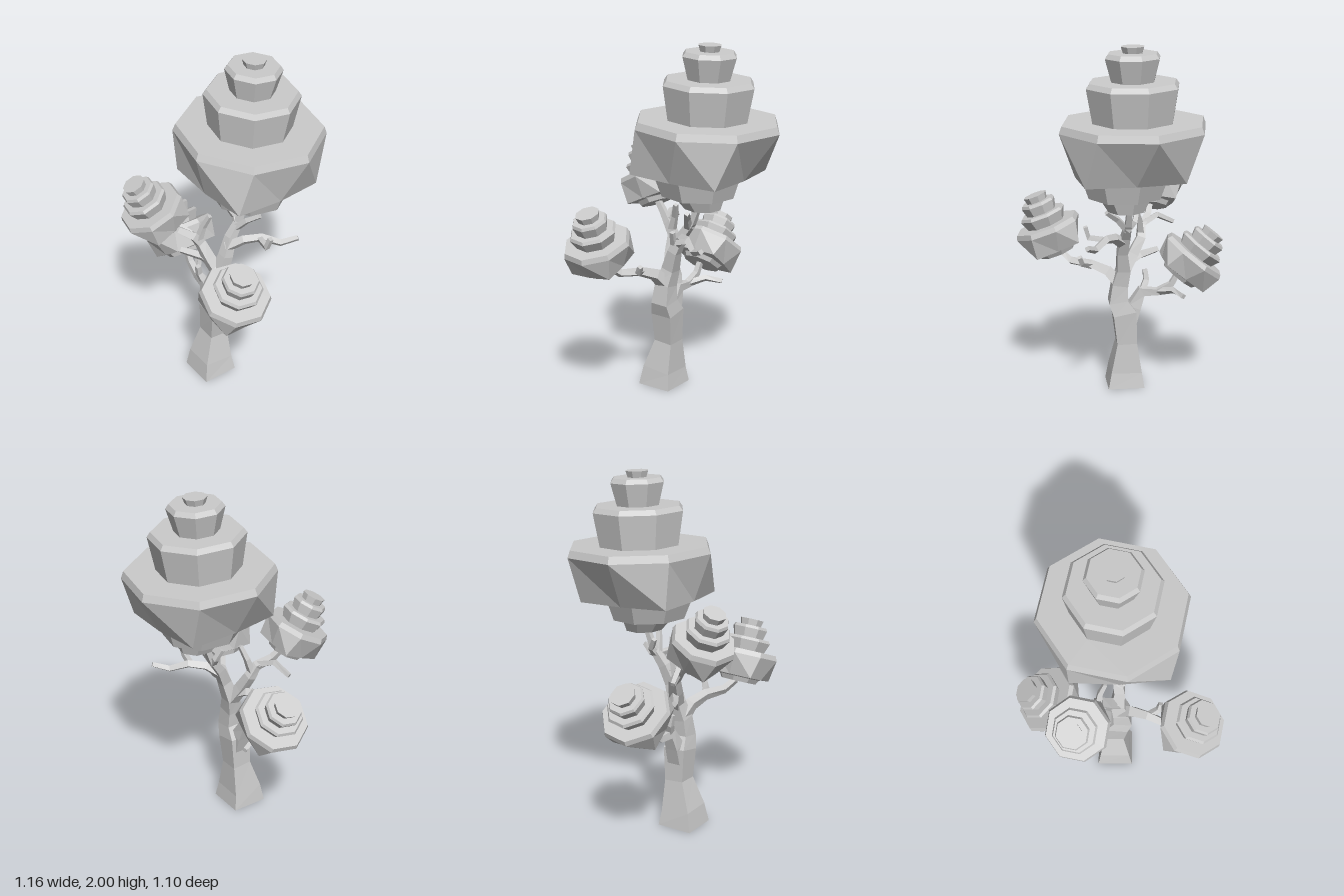
import * as THREE from 'three';

const material = new THREE.MeshStandardMaterial({ color: 0xcccccc, flatShading: true });
const UP = new THREE.Vector3(0, 1, 0);
const PHASE = THREE.MathUtils.degToRad(8.5);

function addMesh(parent, geometry, name) {
  const mesh = new THREE.Mesh(geometry, material);
  mesh.name = name;
  parent.add(mesh);
  return mesh;
}

// Square, tapering limb through stations [x, y, z, half width]
function limbGeometry(stations) {
  const points = stations.map(([x, y, z]) => new THREE.Vector3(x, y, z));
  const position = [], index = [], last = points.length - 1;
  points.forEach((p, i) => {
    const tangent = points[Math.min(i + 1, last)].clone().sub(points[Math.max(i - 1, 0)]).normalize();
    if (i === 0 && p.y === 0) tangent.copy(UP); // keep the foot flat on the ground
    const turn = new THREE.Quaternion().setFromUnitVectors(UP, tangent);
    for (let k = 0; k < 4; k++) {
      const a = THREE.MathUtils.degToRad(-42 + 90 * k), r = stations[i][3] * Math.SQRT2;
      const corner = new THREE.Vector3(Math.cos(a) * r, 0, Math.sin(a) * r).applyQuaternion(turn).add(p);
      position.push(corner.x, corner.y, corner.z);
      if (i < last) {
        const q = i * 4 + k, s = i * 4 + (k + 1) % 4;
        index.push(q, q + 4, s, s, q + 4, s + 4);
      }
    }
  });
  const e = last * 4;
  index.push(0, 1, 2, 0, 2, 3, e, e + 2, e + 1, e, e + 3, e + 2); // end caps
  const geometry = new THREE.BufferGeometry();
  geometry.setAttribute('position', new THREE.Float32BufferAttribute(position, 3));
  geometry.setIndex(index);
  geometry.computeVertexNormals();
  return geometry;
}

// Eight-sided stepped foliage from rings [radius, height, shift x, shift z, squarish]
function foliageGeometry(rings) {
  const profile = rings.map(([r, y]) => new THREE.Vector2(r, y));
  const geometry = new THREE.LatheGeometry(profile, 8, PHASE);
  const position = geometry.attributes.position;
  for (let i = 0; i < position.count; i++) {
    const [r, , dx = 0, dz = 0, squarish] = rings[i % rings.length];
    let x = position.getX(i), z = position.getZ(i);
    if (squarish) { // untwist the ring and push its corners outwards
      const a = Math.floor(i / rings.length) * Math.PI / 4;
      const reach = r / Math.max(Math.abs(Math.sin(a)), Math.abs(Math.cos(a))) ** 0.8;
      x = Math.sin(a) * reach;
      z = Math.cos(a) * reach;
    }
    position.setX(i, x + dx);
    position.setZ(i, z + dz);
  }
  return geometry;
}

// Heights are measured from the rim of the widest tier
const crownRings = [
  [0, -0.49, 0.045, -0.015], [0.105, -0.49, 0.045, -0.015],
  [0.15, -0.415, 0.045, 0.01], [0.21, -0.415, 0.045, 0.02],
  [0.25, -0.305, 0.04, 0.03], [0.289, -0.3, 0.03, 0.03, true],
  [0.415, -0.04], [0.4, 0], [0.23, 0],
  [0.262, 0.188], [0.243, 0.215], [0.122, 0.215],
  [0.155, 0.34], [0.138, 0.365], [0.055, 0.365],
  [0.066, 0.4], [0, 0.4],
];

// Heights are measured from the underside
const clusterRings = [
  [0, 0], [0.1, 0], [0.115, 0.025], [0.132, 0.03, 0, 0, true],
  [0.188, 0.148], [0.178, 0.175], [0.108, 0.175],
  [0.13, 0.23], [0.12, 0.245], [0.085, 0.245],
  [0.098, 0.295], [0.09, 0.31], [0.058, 0.31],
  [0.066, 0.345], [0, 0.345],
];

// Small clusters: underside centre, top centre and width
const clusters = [
  ['frontCluster', [-0.2, 1.025, 0.315], [-0.26, 1.347, 0.465], 0.97],
  ['rightCluster', [-0.315, 0.66, 0.08], [-0.52, 0.912, 0.065], 1.08],
  ['leftCluster', [0.35, 0.775, 0.295], [0.478, 1.113, 0.312], 1.04],
];

const limbs = {
  trunk: [[-0.018, 0, 0.15, 0.104], [-0.02, 0.1, 0.146, 0.088], [-0.022, 0.27, 0.12, 0.057],
    [-0.008, 0.45, 0.117, 0.066], [0.028, 0.52, 0.115, 0.053], [0.018, 0.62, 0.11, 0.045],
    [0, 0.71, 0.09, 0.038], [0.012, 0.82, 0.055, 0.03], [0.0, 0.92, 0.01, 0.025],
    [-0.005, 1.0, -0.05, 0.018], [-0.005, 1.12, -0.1, 0.013]],
  // Low branch to the right cluster
  lowBranch: [[-0.025, 0.34, 0.118, 0.04], [-0.065, 0.48, 0.115, 0.038], [-0.11, 0.57, 0.11, 0.027],
    [-0.2, 0.565, 0.1, 0.019], [-0.28, 0.61, 0.09, 0.016], [-0.33, 0.7, 0.085, 0.013]],
  lowTwigUp: [[-0.11, 0.56, 0.11, 0.019], [-0.14, 0.63, 0.13, 0.016], [-0.135, 0.69, 0.14, 0.013]],
  lowTwigBack: [[-0.2, 0.565, 0.1, 0.016], [-0.28, 0.59, 0.03, 0.014], [-0.32, 0.575, -0.06, 0.012]],
  // Branch to the front cluster
  frontBranch: [[0, 0.69, 0.09, 0.032], [-0.06, 0.79, 0.12, 0.029], [-0.11, 0.88, 0.14, 0.025],
    [-0.12, 0.94, 0.18, 0.021], [-0.17, 0.99, 0.25, 0.017], [-0.2, 1.06, 0.32, 0.014]],
  frontTwigOut: [[-0.13, 0.95, 0.19, 0.017], [-0.22, 0.99, 0.225, 0.014], [-0.32, 0.94, 0.25, 0.011]],
  frontTwigUp: [[-0.11, 0.91, 0.15, 0.018], [-0.1, 0.99, 0.125, 0.014], [-0.07, 1.07, 0.1, 0.011]],
  sideTwig: [[0, 0.73, 0.09, 0.024], [-0.1, 0.78, 0.13, 0.02], [-0.215, 0.79, 0.2, 0.014]],
  // Branch to the left cluster
  leftBranch: [[0.01, 0.61, 0.11, 0.034], [0.08, 0.69, 0.14, 0.028], [0.17, 0.725, 0.18, 0.022],
    [0.28, 0.735, 0.24, 0.018], [0.33, 0.78, 0.28, 0.016], [0.355, 0.84, 0.29, 0.014]],
  leftTwig: [[0.17, 0.72, 0.18, 0.018], [0.23, 0.74, 0.15, 0.015], [0.245, 0.78, 0.13, 0.012]],
  // High branch reaching back
  backBranch: [[0.005, 0.87, 0.04, 0.024], [0.07, 0.925, -0.03, 0.02], [0.13, 0.94, -0.11, 0.018],
    [0.2, 0.905, -0.19, 0.015], [0.255, 0.935, -0.27, 0.012]],
  backTwig: [[0.12, 0.935, -0.1, 0.015], [0.22, 0.945, -0.07, 0.014], [0.24, 1.01, -0.08, 0.012]],
  // Twigs under the crown
  crownTwigLeft: [[0, 0.97, -0.03, 0.017], [0.06, 1.04, -0.06, 0.014], [0.125, 1.09, -0.1, 0.011]],
  crownTwigRight: [[0, 0.97, -0.04, 0.016], [-0.04, 1.02, -0.05, 0.014], [-0.06, 1.08, -0.02, 0.011]],
};

export function createModel() {
  const tree = new THREE.Group();
  tree.name = 'tree';

  const wood = new THREE.Group();
  wood.name = 'wood';
  for (const [name, stations] of Object.entries(limbs)) addMesh(wood, limbGeometry(stations), name);

  const foliage = new THREE.Group();
  foliage.name = 'foliage';

  const crown = addMesh(foliage, foliageGeometry(crownRings), 'crown');
  crown.position.set(-0.017, 1.597, -0.14);
  crown.rotation.set(-0.045, 0, -0.02);

  for (const [name, from, to, width] of clusters) {
    const base = new THREE.Vector3(...from);
    const axis = new THREE.Vector3(...to).sub(base);
    const cluster = addMesh(foliage, foliageGeometry(clusterRings), name);
    cluster.position.copy(base);
    cluster.scale.set(width, axis.length() / 0.345, width);
    cluster.quaternion.setFromUnitVectors(UP, axis.normalize());
  }

  tree.add(wood, foliage);
  return tree;
}
